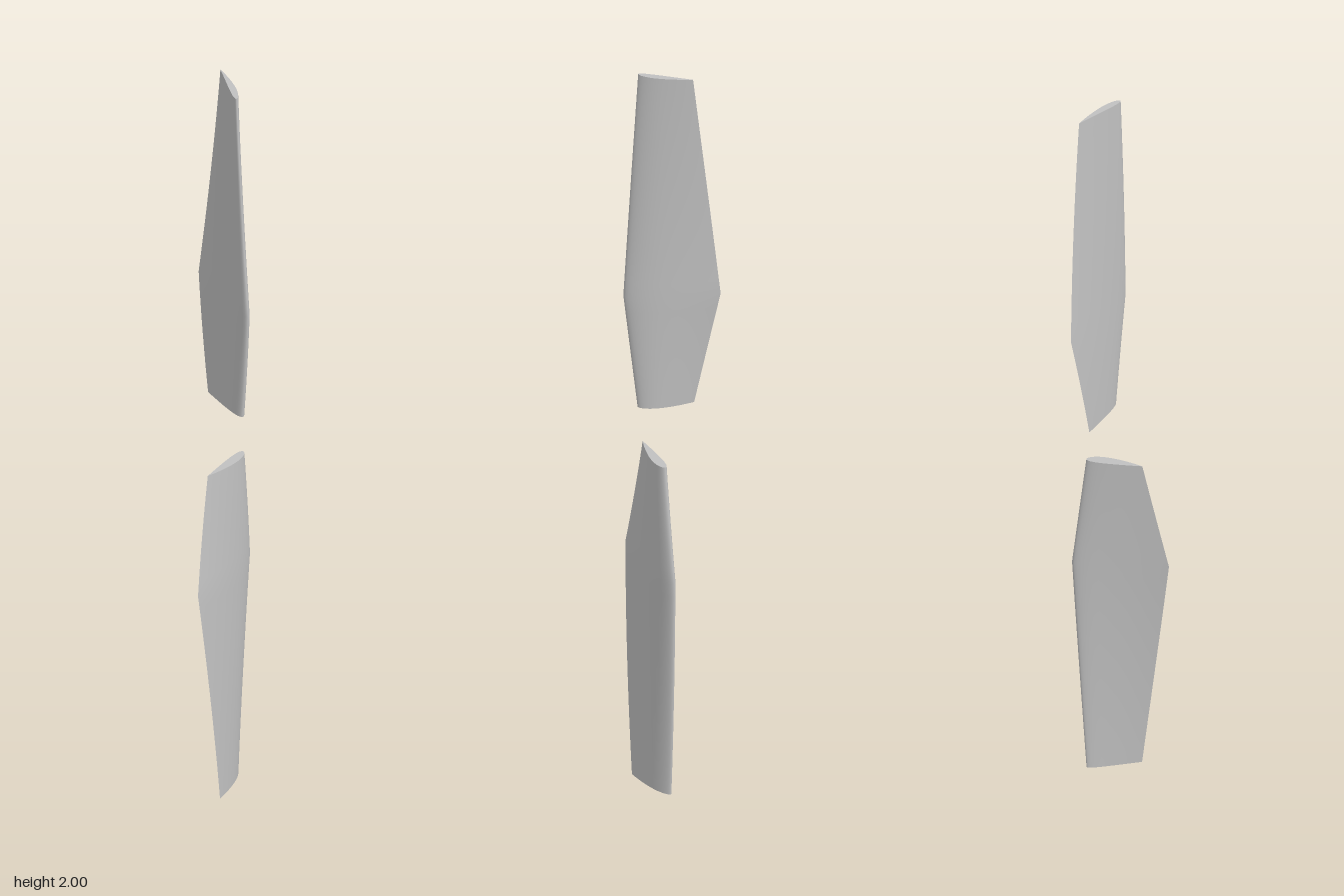
import * as THREE from 'three';

const AROUND = 40;              // steps around the airfoil
const ALONG = 24;               // steps along the blade
const ROOT = 1.075, WIDE = 1.385, TIP = 2;
const PIVOT_X = 0.018;          // twist axis, at 35 % of the chord

// Linear blend of a value given at root, widest station and tip
function station(y, root, wide, tip) {
  return y < WIDE
    ? THREE.MathUtils.mapLinear(y, ROOT, WIDE, root, wide)
    : THREE.MathUtils.mapLinear(y, WIDE, TIP, wide, tip);
}

// Cambered airfoil; k runs 0..1 from trailing edge over the upper side,
// round the leading edge and back underneath. Returns [chord position, height].
function airfoil(k, thickness) {
  const t = 0.5 + 0.5 * Math.cos(2 * Math.PI * k);
  const half = 5 * thickness * (0.2969 * Math.sqrt(t) - 0.126 * t
    - 0.3516 * t ** 2 + 0.2843 * t ** 3 - 0.1036 * t ** 4);
  const m = 0.03, p = 0.4;
  const camber = t < p
    ? m / p ** 2 * (2 * p * t - t * t)
    : m / (1 - p) ** 2 * (1 - 2 * p + 2 * p * t - t * t);
  return [t, camber + (k < 0.5 ? half : -half)];
}

// One twisted cross-section at height y
function section(y) {
  const chord = station(y, 0.139, 0.236, 0.136);
  const thickness = station(y, 0.18, 0.13, 0.125);
  const a = THREE.MathUtils.degToRad(THREE.MathUtils.mapLinear(y, ROOT, TIP, 38, 17));
  const points = [];
  for (let i = 0; i <= AROUND; i++) {
    const [t, h] = airfoil(i / AROUND, thickness);
    const s = (0.35 - t) * chord, n = h * chord;
    points.push(new THREE.Vector3(
      PIVOT_X + s * Math.sin(a) + n * Math.cos(a), y,
      s * Math.cos(a) - n * Math.sin(a)));
  }
  return points;
}

// Lofted skin, left open at the trailing edge so that edge stays sharp
function skinGeometry() {
  const heights = [];
  for (let j = 0; j <= ALONG; j++) {
    const f = j / ALONG;
    heights.push(f < 1 / 3
      ? THREE.MathUtils.lerp(ROOT, WIDE, f * 3)
      : THREE.MathUtils.lerp(WIDE, TIP, (f - 1 / 3) * 1.5));
  }
  const points = heights.flatMap(section);
  const index = [], row = AROUND + 1;
  for (let j = 0; j < ALONG; j++) {
    for (let i = 0; i < AROUND; i++) {
      const a = j * row + i, b = a + row;
      index.push(a, b, a + 1, b, b + 1, a + 1);
    }
  }
  const geometry = new THREE.BufferGeometry().setFromPoints(points);
  geometry.setIndex(index);
  geometry.computeVertexNormals();
  return geometry;
}

// Flat end face of the blade
function capGeometry(y, facesUp) {
  const points = section(y);
  const centre = new THREE.Vector3();
  points.forEach((p) => centre.addScaledVector(p, 1 / points.length));
  const index = [];
  for (let i = 0; i < AROUND; i++) {
    index.push(AROUND + 1, facesUp ? i + 1 : i, facesUp ? i : i + 1);
  }
  const geometry = new THREE.BufferGeometry().setFromPoints([...points, centre]);
  geometry.setIndex(index);
  geometry.computeVertexNormals();
  return geometry;
}

export function createModel() {
  const model = new THREE.Group();
  model.name = 'propellerBlades';
  const grey = new THREE.MeshStandardMaterial({ color: 0xc0c0c0 });
  grey.name = 'light grey';

  const parts = {
    bladeSkin: skinGeometry(),
    bladeRootFace: capGeometry(ROOT, false),
    bladeTipFace: capGeometry(TIP, true),
  };

  // Two equal blades, the lower one turned half a turn about the x axis
  for (const name of ['upperBlade', 'lowerBlade']) {
    const blade = new THREE.Group();
    blade.name = name;
    for (const [part, geometry] of Object.entries(parts)) {
      const mesh = new THREE.Mesh(geometry, grey);
      mesh.name = part;
      blade.add(mesh);
    }
    if (name === 'lowerBlade') {
      blade.rotation.x = Math.PI;
      blade.position.y = 2;
    }
    model.add(blade);
  }
  return model;
}
